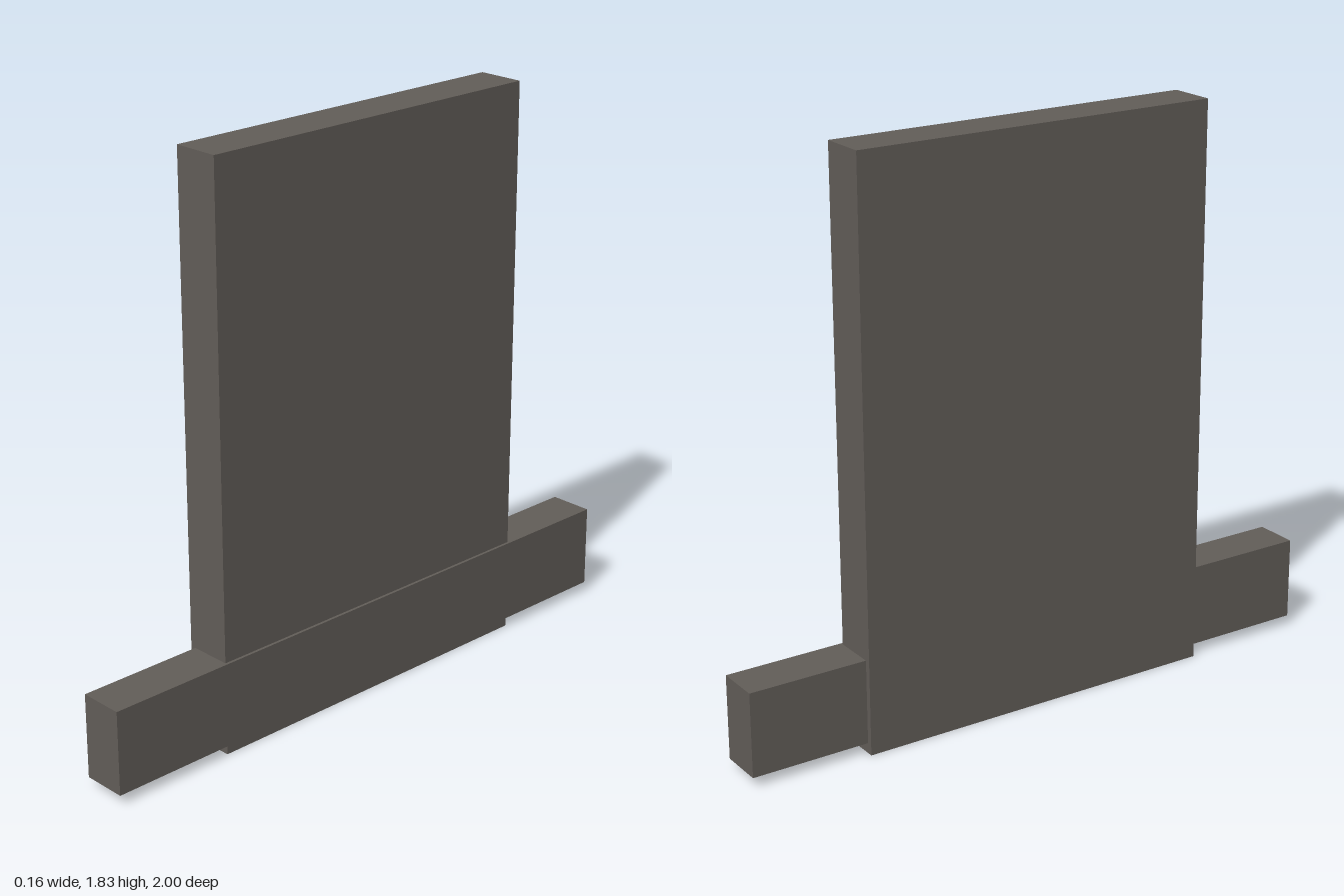
import * as THREE from 'three';

const stone = new THREE.MeshStandardMaterial({ color: 0x625d58 });
stone.name = 'dark stone';

// Box given by its lower and upper corners
function block(name, min, max) {
  const size = max.map((v, i) => v - min[i]);
  const mesh = new THREE.Mesh(new THREE.BoxGeometry(...size), stone);
  mesh.position.set(...max.map((v, i) => (v + min[i]) / 2));
  mesh.name = name;
  return mesh;
}

export function createModel() {
  const group = new THREE.Group();
  group.name = 'slabOnBar';
  // Tall upright panel
  group.add(block('uprightSlab', [-0.081, 0, -0.617], [0.072, 1.825, 0.591]));
  // Long low bar through the foot of the panel, offset slightly to the left
  group.add(block('baseBar', [-0.063, 0.033, -1], [0.081, 0.302, 1]));
  return group;
}
